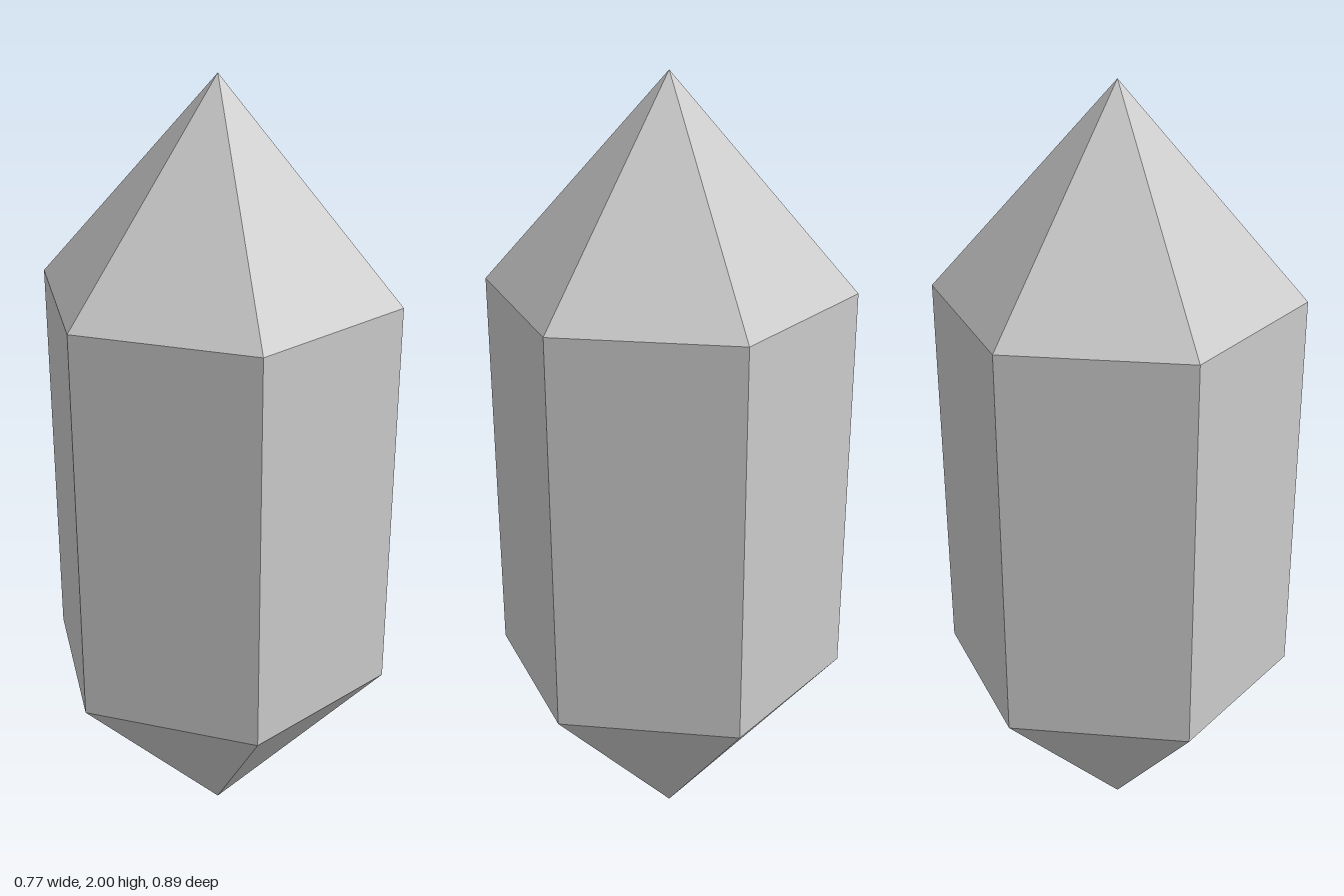
import * as THREE from 'three';

const SIDES = 6;
const RADIUS = 0.444;
const BODY_HEIGHT = 1.0;
const TIP_HEIGHT = 0.5;

export function createModel() {
  const group = new THREE.Group();
  group.name = 'crystal';
  const material = new THREE.MeshStandardMaterial({ color: 0xcccccc, flatShading: true });

  function addPart(name, geometry, y) {
    const mesh = new THREE.Mesh(geometry, material);
    mesh.name = name;
    mesh.position.y = y;
    group.add(mesh);
    return mesh;
  }

  // Hexagonal prism, with corners pointing to the front and back
  addPart('body', new THREE.CylinderGeometry(RADIUS, RADIUS, BODY_HEIGHT, SIDES, 1, true), 1);

  // Pyramid tips, the lower one turned upside down
  const tip = new THREE.ConeGeometry(RADIUS, TIP_HEIGHT, SIDES, 1, true);
  const tipOffset = (BODY_HEIGHT + TIP_HEIGHT) / 2;
  addPart('upperTip', tip, 1 + tipOffset);
  addPart('lowerTip', tip, 1 - tipOffset).rotation.x = Math.PI;

  return group;
}
